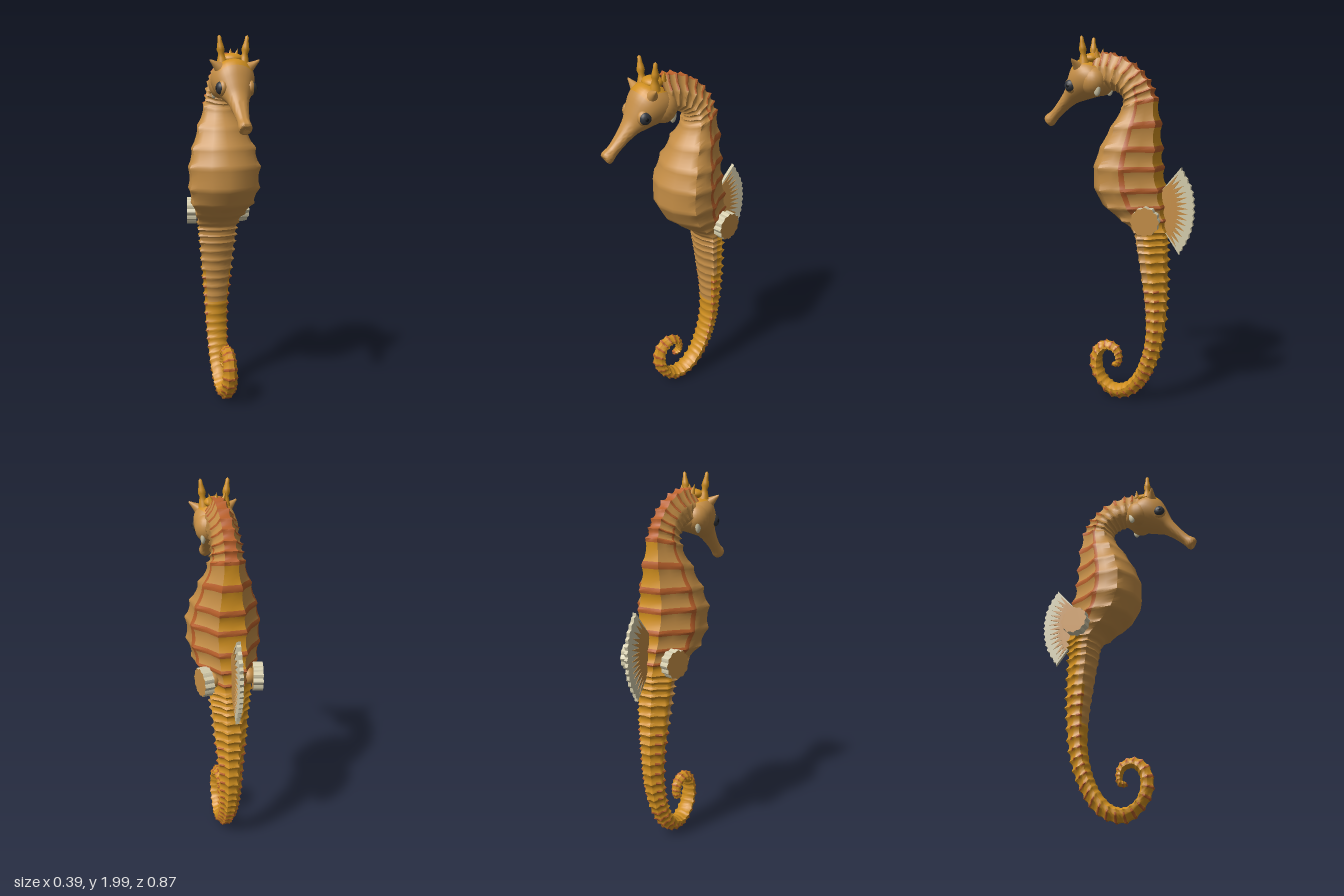
import * as THREE from 'three';
import { toCreasedNormals } from 'three/addons/utils/BufferGeometryUtils.js';

const V = (x, y, z) => new THREE.Vector3(x, y, z);
const mat = (name, color) => new THREE.MeshStandardMaterial({ name, color });

// Skin a list of equal-length point rings; pick(k, j) gives the material index of each quad
function loft(rings, pick, crease) {
  const n = rings[0].length, sets = [];
  for (let k = 0; k < rings.length - 1; k++) {
    for (let j = 0; j < n; j++) {
      const a = k * n + j, b = k * n + (j + 1) % n;
      (sets[pick(k, j)] ??= []).push(a, a + n, b, b, a + n, b + n);
    }
  }
  const g = new THREE.BufferGeometry().setFromPoints(rings.flat());
  const index = [];
  sets.forEach((s, m) => {
    g.addGroup(index.length, s.length, m);
    for (const i of s) index.push(i);
  });
  g.setIndex(index);
  return toCreasedNormals(g, crease);
}

// Body stations: belly z, belly y, back z, back y, half width
const BODY = [
  [.12, 1.72, .12, 1.915, .06], [.05, 1.72, .03, 1.91, .066], [0, 1.71, -.09, 1.855, .07],
  [-.035, 1.68, -.17, 1.77, .075], [-.03, 1.63, -.21, 1.68, .085], [.03, 1.53, -.228, 1.55, .125],
  [.085, 1.43, -.235, 1.42, .165], [.12, 1.33, -.24, 1.32, .188], [.12, 1.21, -.26, 1.21, .186],
  [.07, 1.12, -.272, 1.12, .165], [-.02, 1.05, -.278, 1.05, .132], [-.1, .99, -.28, .99, .112],
  [-.125, .88, -.28, .88, .098], [-.15, .72, -.284, .72, .083], [-.17, .56, -.28, .56, .068],
  [-.172, .4, -.262, .38, .06], [-.145, .27, -.22, .23, .055], [-.1, .17, -.15, .1, .05],
];
const CURL = [
  [-.04, .105, -.07, .035, .048], [.02, .09, .03, .018, .045], [.075, .12, .115, .08, .043],
  [.1, .185, .165, .18, .04], [.095, .25, .145, .29, .037], [.06, .285, .075, .335, .034],
  [.025, .275, 0, .31, .03], [.012, .245, -.022, .25, .027], [.012, .222, -.008, .198, .024],
  [.03, .215, .035, .195, .016], [.035, .206, .037, .204, .002],
];

// Half cross-section from belly to back: across, along, spike height
const SECTION = [
  [0, 1, .006], [.5, .88, .006], [.85, .62, .006], [1, .45, .016], [1, .1, .006],
  [.97, -.12, .01], [.9, -.26, .016], [.62, -.6, .006], [.38, -.95, .017], [0, -1, .007],
];

function bodyGeometry() {
  const S = [...BODY, ...CURL], last = S.length - 1;
  const belly = new THREE.CatmullRomCurve3(S.map(s => V(0, s[1], s[0])));
  const back = new THREE.CatmullRomCurve3(S.map(s => V(0, s[3], s[2])));
  const width = new THREE.CatmullRomCurve3(S.map((s, i) => V(s[4], i, 0)), false, 'catmullrom');
  const loop = [...SECTION.map(p => [1, ...p]), ...SECTION.slice(1, -1).reverse().map(p => [-1, ...p])];
  const steps = [[0, 1], [.14, .55], [.3, .1], [.5, 0], [.7, .1], [.86, .55]];
  const rings = [], info = [];
  for (let i = 0; i < last; i++) {
    const count = i < 4 ? 2 : i < 11 ? 1 : i < 17 ? 3 : 2;
    for (let r = 0; r < count; r++) {
      for (const [f, bump] of steps) {
        const s = i + (r + f) / count, t = s / last;
        const a = belly.getPoint(t), b = back.getPoint(t), w = width.getPoint(t).x;
        const mid = a.clone().add(b).multiplyScalar(.5);
        const half = a.clone().sub(b).multiplyScalar(.5), dir = half.clone().normalize();
        const grow = bump * Math.min(1, w / .075);
        rings.push(loop.map(([side, u, v, h]) => {
          const len = Math.hypot(u, v);
          const p = mid.clone().addScaledVector(half, v * .97).addScaledVector(dir, grow * h * v / len);
          p.x = side * (u * w * .96 + grow * h * u / len);
          return p;
        }));
        info.push([s, f < .1 || f > .8]);
      }
    }
  }
  // 0 tan, 1 gold, 2 rust
  const pick = (k, j) => {
    const [s, ridge] = info[k], c = j < 9 ? j : 17 - j;
    if (s < 11) {
      if (c === 5 && s > 3 && s < 9.6) return 2;
      if (c === 8 && s < 4) return 2;
      if (c >= 6 && ridge && s < 10.2) return 2;
      return c === 8 || (c >= 5 && s > 10) ? 1 : 0;
    }
    if (s > 26.8) return 2;
    if (s > 16 && ridge && c >= 4) return 2;
    if (s > 13 && s <= 16 && ridge && (c === 2 || c === 3 || c === 6)) return 2;
    return s < 14.2 && c < (s < 13 ? 4 : 2) ? 0 : 1;
  };
  return loft(rings, pick, .75);
}

// Head and snout: z, y, half height, half width
const HEAD = [
  [.045, 1.80, .004, .004], [.06, 1.80, .06, .055], [.1, 1.80, .098, .095], [.15, 1.79, .115, .11],
  [.2, 1.763, .1, .104], [.245, 1.722, .07, .08], [.28, 1.687, .046, .056], [.33, 1.637, .033, .04],
  [.38, 1.587, .029, .031], [.41, 1.56, .035, .034], [.423, 1.55, .026, .027], [.418, 1.554, .002, .002],
];

function headGeometry() {
  const line = new THREE.CatmullRomCurve3(HEAD.map(h => V(0, h[1], h[0])));
  const size = new THREE.CatmullRomCurve3(HEAD.map((h, i) => V(h[3], h[2], i * .05)));
  const rings = [];
  for (let i = 0; i <= 44; i++) {
    const c = line.getPoint(i / 44), r = size.getPoint(i / 44);
    rings.push(Array.from({ length: 28 }, (_, j) => {
      const a = j / 28 * Math.PI * 2, up = Math.max(r.y, .001) * Math.cos(a);
      return V(Math.max(r.x, .001) * Math.sin(a), c.y + up * .82, c.z + up * .57);
    }));
  }
  const gold = (k, j) => k < 15 && (j < 4 || j > 23) ? 1 : 0;
  return loft(rings, gold, 1.2);
}

// Fan outline in (backward, up); reach(i) is how far each ray extends
function fanShape(count, reach) {
  const edge = new THREE.SplineCurve([[.36, 1.33], [.42, 1.22], [.435, 1.1], [.415, .98], [.355, .87]]
    .map(p => new THREE.Vector2(...p)));
  const pts = [new THREE.Vector2(.25, 1.2)];
  for (let i = 0; i <= count; i++) {
    const base = new THREE.Vector2(.26, 1.19 - .16 * i / count);
    pts.push(base.lerp(edge.getPoint(i / count), reach(i)));
  }
  pts.push(new THREE.Vector2(.25, 1.02));
  return new THREE.Shape(pts);
}

function plate(shape, thick) {
  return new THREE.ExtrudeGeometry(shape, { depth: thick, bevelEnabled: false })
    .translate(0, 0, -thick / 2).rotateY(Math.PI / 2);
}

export function createModel() {
  const model = new THREE.Group();
  const tan = mat('tan skin', 0xc58e46), gold = mat('golden skin', 0xd08f1f);
  const rust = mat('rust ridges', 0xb9602a), cream = mat('cream fin', 0xd3cbab);
  const dark = mat('dark eye', 0x30343b), grey = mat('grey pupil', 0x15171b);
  const add = (name, geo, material, x = 0, y = 0, z = 0) => {
    const m = new THREE.Mesh(geo, material);
    m.name = name;
    m.position.set(x, y, z);
    model.add(m);
    return m;
  };

  add('body and tail', bodyGeometry(), [tan, gold, rust]);
  add('head and snout', headGeometry(), [tan, gold]);

  // Dorsal fin with tan rays
  add('dorsal fin', plate(fanShape(28, i => i % 2 ? .95 : 1), .02), cream);
  add('dorsal fin rays', plate(fanShape(28, i => i % 2 ? .8 : .45), .026), tan);

  // Crown
  const ball = new THREE.SphereGeometry(1, 20, 14);
  add('crown base', ball, gold, 0, 1.885, .15).scale.set(.058, .03, .05);
  add('crown crest', new THREE.ConeGeometry(.022, .06, 10), gold, 0, 1.91, .12);
  const lathe = pts => new THREE.LatheGeometry(pts.map(p => new THREE.Vector2(...p)), 14);
  const horn = lathe([[.028, 0], [.02, .03], [.014, .05], [.02, .068], [.017, .085], [.011, .11], [.009, .132], [0, .14]]);
  const spike = lathe([[.034, 0], [.022, .025], [.012, .05], [.005, .07], [0, .075]]);

  for (const s of [1, -1]) {
    const h = add('crown horn', horn, gold, s * .055, 1.862, .17);
    h.rotation.set(.04, 0, -s * .12);
    add('crown knob', new THREE.ConeGeometry(.016, .05, 10), gold, s * .035, 1.915, .105).rotation.z = -s * .3;
    const b = add('brow spike', spike, tan, s * .068, 1.838, .195);
    b.rotation.set(.3, 0, -s * .92);
    add('cheek', ball, tan, s * .05, 1.765, .12).scale.set(.062, .075, .07);
    add('gill', ball, cream, s * .078, 1.73, .085).scale.set(.014, .04, .02);

    // Eyes
    add('eye socket', ball, tan, s * .068, 1.745, .235).scale.set(.028, .042, .042);
    add('eye', ball, dark, s * .08, 1.745, .24).scale.set(.024, .032, .032);
    add('pupil', ball, grey, s * .092, 1.745, .243).scale.set(.0135, .015, .015);

    // Scalloped side fins
    const rim = new THREE.Shape(Array.from({ length: 48 }, (_, i) => {
      const a = i / 48 * Math.PI * 2, r = .072 + .004 * Math.cos(a * 12);
      return new THREE.Vector2(r * Math.cos(a), r * Math.sin(a));
    }));
    const fin = add('side fin', plate(rim, .052), [tan, cream], s * .14, 1.06, -.216);
    fin.rotation.y = s * .2;
    add('side fin root', ball, tan, s * .095, 1.06, -.2).scale.set(.04, .045, .045);
  }
  return model;
}
